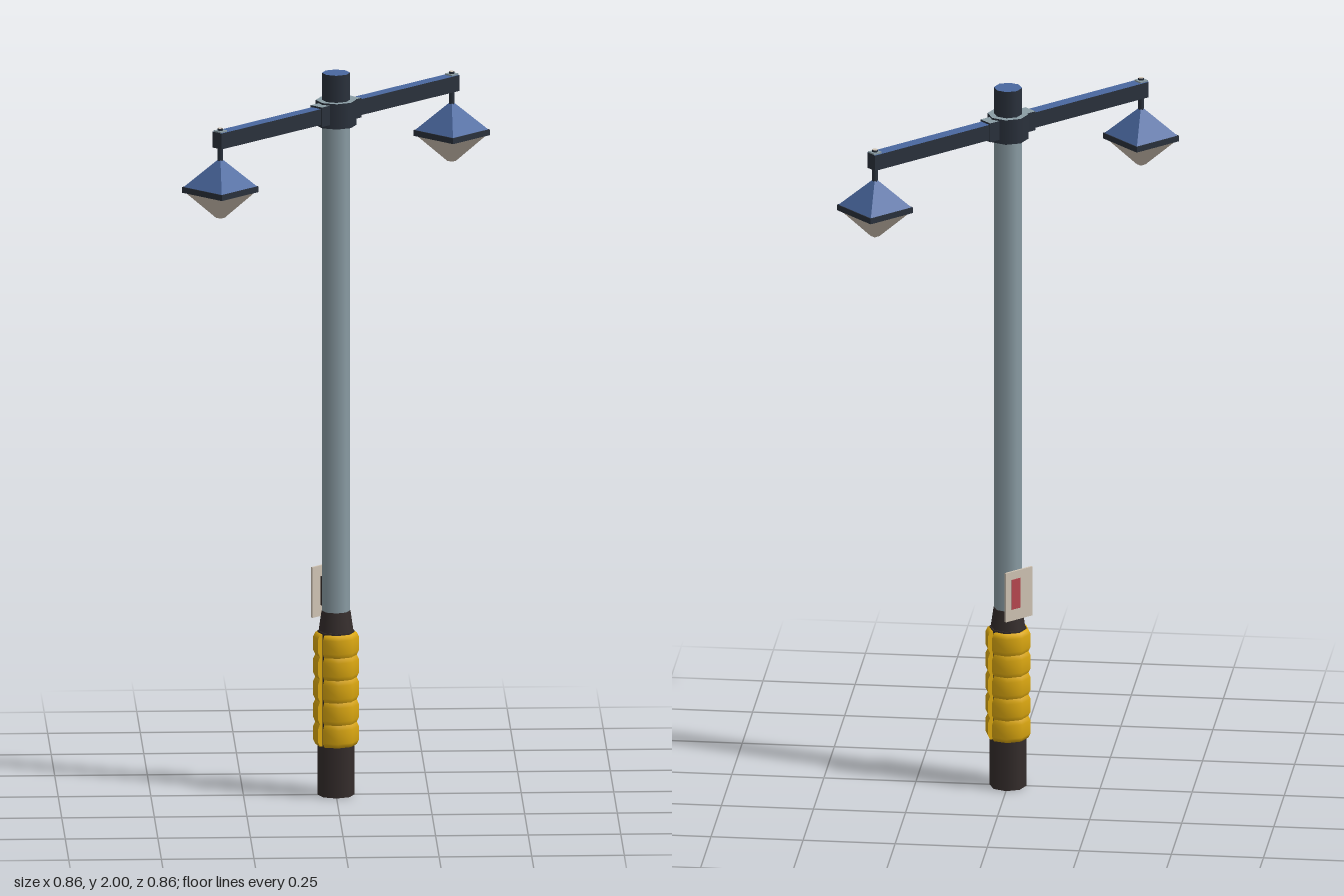
import * as THREE from 'three';

const flat = (name, color, extra = {}) => new THREE.MeshStandardMaterial({ name, color, ...extra });

export function createModel() {
  const poleGrey = flat('poleGrey', 0x8a9ca4);
  const blue = flat('blue', 0x4a68a0);
  const navy = flat('darkNavy', 0x2a313c);
  const charcoal = flat('charcoal', 0x352d2c);
  const yellow = flat('yellow', 0xdca810);
  yellow.side = THREE.DoubleSide;
  const cream = flat('cream', 0xd0c4b4);
  const red = flat('red', 0xb8474f);

  const model = new THREE.Group();
  model.name = 'streetLamp';

  const add = (parent, name, geometry, material, x = 0, y = 0, z = 0) => {
    const mesh = new THREE.Mesh(geometry, material);
    mesh.name = name;
    mesh.position.set(x, y, z);
    parent.add(mesh);
    return mesh;
  };
  // Upright cylinder between two heights; materials may be [side, top, bottom]
  const column = (parent, name, y0, y1, r0, r1, material, sides = 8, x = 0) =>
    add(parent, name, new THREE.CylinderGeometry(r1, r0, y1 - y0, sides), material, x, (y0 + y1) / 2);
  // Four-sided faceted column for the lantern
  const facets = (parent, name, y0, y1, r0, r1, material) => {
    const g = new THREE.CylinderGeometry(r1, r0, y1 - y0, 4).toNonIndexed();
    g.computeVertexNormals();
    g.clearGroups();
    return add(parent, name, g, material, 0, (y0 + y1) / 2);
  };

  // Post
  column(model, 'base', 0, 0.455, 0.05, 0.05, charcoal);
  column(model, 'baseTaper', 0.455, 0.51, 0.047, 0.039, charcoal);
  column(model, 'pole', 0.5, 1.87, 0.038, 0.038, poleGrey);
  column(model, 'poleTop', 1.87, 2, 0.038, 0.038, [navy, blue, navy]);
  column(model, 'collar', 1.855, 1.925, 0.055, 0.055, [navy, poleGrey, navy]);

  // Padding: two half shells of five bulging rings, with a seam on each side
  const profile = [new THREE.Vector2(0.045, 0.14)];
  const ringHeight = 0.062;
  for (let i = 0; i < 5; i++) {
    for (const [t, r] of [[0, 0.056], [0.2, 0.062], [0.8, 0.062], [1, 0.056]]) {
      profile.push(new THREE.Vector2(r, 0.14 + (i + t) * ringHeight));
    }
  }
  profile.push(new THREE.Vector2(0.045, 0.45));
  const seam = 0.14;
  for (const side of [0, 1]) {
    const half = new THREE.Group();
    half.name = side ? 'paddingBack' : 'paddingFront';
    const start = Math.PI * (side ? 0.75 : -0.25) + seam;
    const sweep = Math.PI - 2 * seam;
    add(half, 'paddingRings', new THREE.LatheGeometry(profile, 4, start, sweep), yellow);
    for (const phi of [start, start + sweep]) {
      const end = add(half, 'paddingEnd', new THREE.ShapeGeometry(new THREE.Shape(profile)), yellow);
      end.rotation.y = phi - Math.PI / 2;
    }
    model.add(half);
  }

  // Notice plate on the back left of the pole
  const notice = new THREE.Group();
  notice.name = 'notice';
  notice.rotation.y = -Math.PI * 0.75;
  add(notice, 'noticePlate', new THREE.BoxGeometry(0.092, 0.14, 0.006), cream, 0, 0.56, 0.046);
  add(notice, 'noticeMark', new THREE.BoxGeometry(0.03, 0.085, 0.002), red, -0.012, 0.565, 0.05);
  add(notice, 'noticeBracket', new THREE.BoxGeometry(0.03, 0.08, 0.012), charcoal, 0, 0.56, 0.039);
  model.add(notice);

  // Two mirrored arms on the diagonal, each carrying a hanging lantern
  const boxSides = (top) => [navy, navy, top, navy, navy, navy];
  for (const side of [0, 1]) {
    const arm = new THREE.Group();
    arm.name = side ? 'armRight' : 'armLeft';
    arm.rotation.y = Math.PI / 4 + side * Math.PI;
    add(arm, 'armBeam', new THREE.BoxGeometry(0.44, 0.044, 0.034), boxSides(blue), 0.252, 1.893, 0);
    add(arm, 'armBracket', new THREE.BoxGeometry(0.04, 0.054, 0.042), boxSides(poleGrey), 0.058, 1.893, 0);
    add(arm, 'rodPlate', new THREE.BoxGeometry(0.026, 0.004, 0.026), poleGrey, 0.459, 1.917, 0);
    column(arm, 'hangerRod', 1.82, 1.925, 0.008, 0.008, [navy, cream, navy], 6, 0.459);

    const lantern = new THREE.Group();
    lantern.name = 'lantern';
    lantern.position.x = 0.459;
    lantern.rotation.y = -Math.PI / 4; // corners point along the main axes
    facets(lantern, 'lanternRoof', 1.763, 1.837, 0.099, 0.008, blue);
    facets(lantern, 'lanternRim', 1.747, 1.763, 0.103, 0.103, navy);
    facets(lantern, 'lanternGlass', 1.677, 1.747, 0.012, 0.094, cream);
    arm.add(lantern);
    model.add(arm);
  }
  return model;
}
